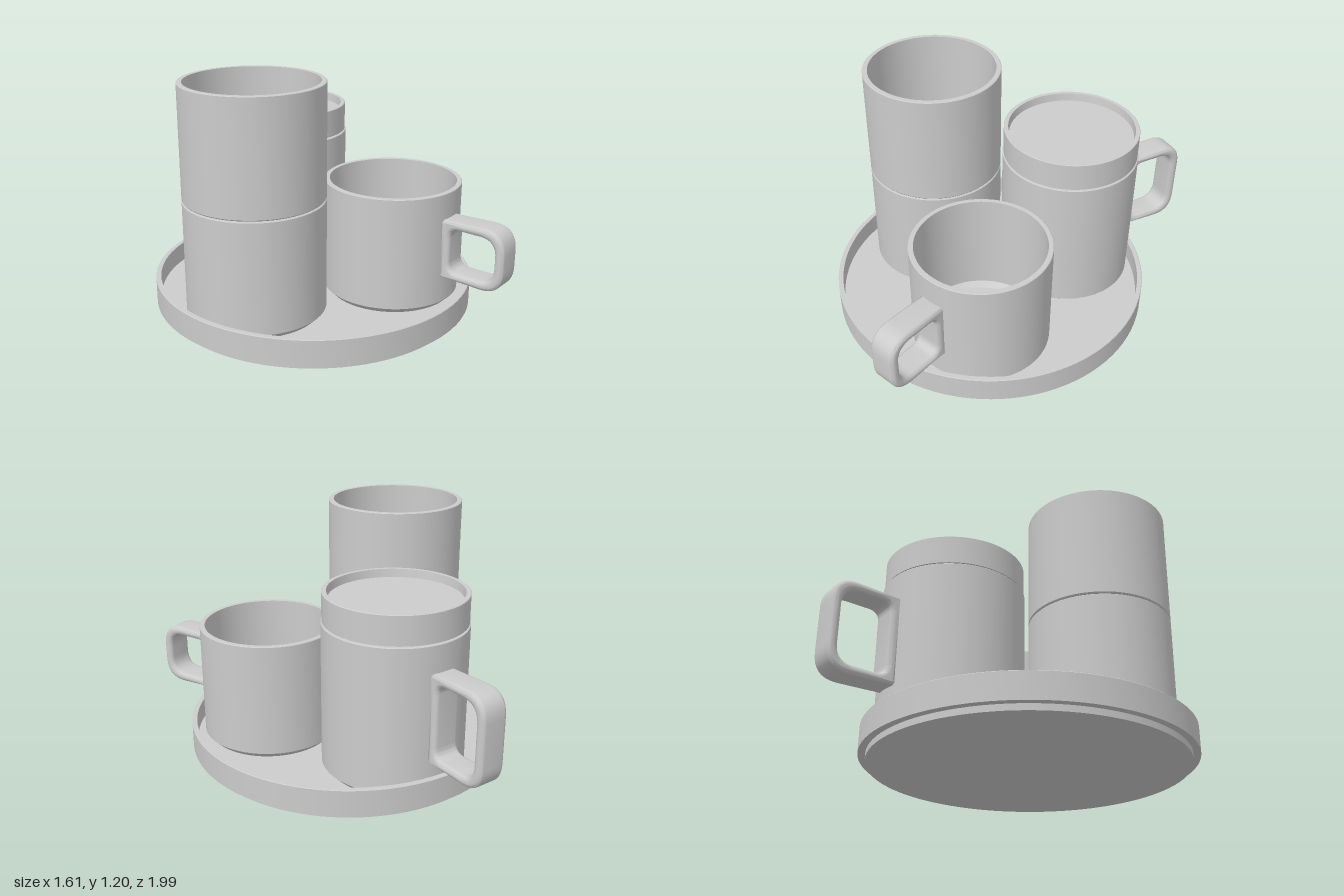
import * as THREE from 'three';
import { toCreasedNormals } from 'three/addons/utils/BufferGeometryUtils.js';

const material = new THREE.MeshStandardMaterial({ color: 0xcccccc });

function mesh(name, geometry, crease = 0.6) {
  const m = new THREE.Mesh(toCreasedNormals(geometry, crease), material);
  m.name = name;
  return m;
}

// Turned part from a [radius, height] profile, listed from the underside outward and up
function turned(name, profile) {
  const points = profile.map(([r, y]) => new THREE.Vector2(r, y));
  return mesh(name, new THREE.LatheGeometry(points, 96));
}

// Straight-walled cup with a chamfered foot
function cup(name, radius, bottom, top) {
  const inner = radius - 0.025;
  return turned(name, [
    [0, bottom], [radius - 0.03, bottom], [radius, bottom + 0.03],
    [radius, top - 0.003], [radius - 0.003, top], [inner, top],
    [inner, bottom + 0.06], [inner - 0.028, bottom + 0.035], [0, bottom + 0.035],
  ]);
}

// Rounded four-sided outline, corners listed as [x, y, cornerRadius]
function rounded(corners, path) {
  const n = corners.length;
  const toward = ([x, y, r], [tx, ty]) => {
    const d = Math.hypot(tx - x, ty - y);
    return [x + ((tx - x) * r) / d, y + ((ty - y) * r) / d];
  };
  corners.forEach((c, i) => {
    const a = toward(c, corners[(i + n - 1) % n]);
    const b = toward(c, corners[(i + 1) % n]);
    if (i === 0) path.moveTo(...a);
    else path.lineTo(...a);
    path.quadraticCurveTo(c[0], c[1], ...b);
  });
  path.closePath();
  return path;
}

// Soft loop handle; x runs outward from the cup axis, low and high are its outer heights
function handle(low, high, angle) {
  const t = 0.05, bevel = 0.021, width = 0.14;
  const shape = rounded([
    [0.325, low + 0.012, 0.01], [0.662, low, 0.12],
    [0.662, high, 0.12], [0.325, high - 0.012, 0.01],
  ], new THREE.Shape());
  shape.holes.push(rounded([
    [0.375, low + t, 0.05], [0.375, high - t, 0.05],
    [0.614, high - t, 0.08], [0.614, low + t, 0.08],
  ], new THREE.Path()));
  const geometry = new THREE.ExtrudeGeometry(shape, {
    depth: width - 2 * bevel, curveSegments: 12, steps: 1,
    bevelEnabled: true, bevelThickness: bevel, bevelSize: bevel,
    bevelOffset: -bevel, bevelSegments: 5,
  });
  geometry.translate(0, 0, bevel - width / 2);
  const m = mesh('handle', geometry, 0.9);
  m.rotation.y = angle;
  return m;
}

function place(name, x, z, ...parts) {
  const g = new THREE.Group();
  g.name = name;
  g.position.set(x, 0, z);
  g.add(...parts);
  return g;
}

export function createModel() {
  const model = new THREE.Group();
  model.name = 'cupsOnTray';
  const floor = 0.06;

  // Round tray with a recessed foot and a raised rim
  model.add(place('tray', 0, -0.015, turned('trayBody', [
    [0, 0], [0.77, 0], [0.77, 0.03], [0.805, 0.03], [0.805, 0.157],
    [0.802, 0.16], [0.78, 0.16], [0.78, floor], [0, floor],
  ])));

  // Two stacked cups: the upper foot nests inside the lower rim
  const upper = turned('upperCup', [
    [0, 0.6], [0.31, 0.6], [0.31, 0.645], [0.337, 0.645], [0.341, 0.65],
    [0.341, 1.197], [0.338, 1.2], [0.316, 1.2], [0.316, 0.7],
    [0.288, 0.67], [0.288, 0.64], [0, 0.64],
  ]);
  model.add(place('stackedCups', -0.4, -0.07, cup('lowerCup', 0.341, floor, 0.64), upper));

  // Short mug with its handle toward the front
  model.add(place('shortMug', 0.205, 0.33,
    cup('mugBody', 0.341, floor, 0.65),
    handle(0.212, 0.532, Math.atan2(-1, -0.07))));

  // Tall mug with a dished lid and its handle toward the back
  const lid = turned('lid', [
    [0, 0.76], [0.312, 0.76], [0.312, 0.8], [0.337, 0.8], [0.337, 0.937],
    [0.334, 0.94], [0.315, 0.94], [0.31, 0.9], [0, 0.9],
  ]);
  model.add(place('tallMug', 0.23, -0.38,
    cup('mugBody', 0.342, floor, 0.794), lid,
    handle(0.217, 0.672, Math.atan2(0.9, 0.435))));

  return model;
}
